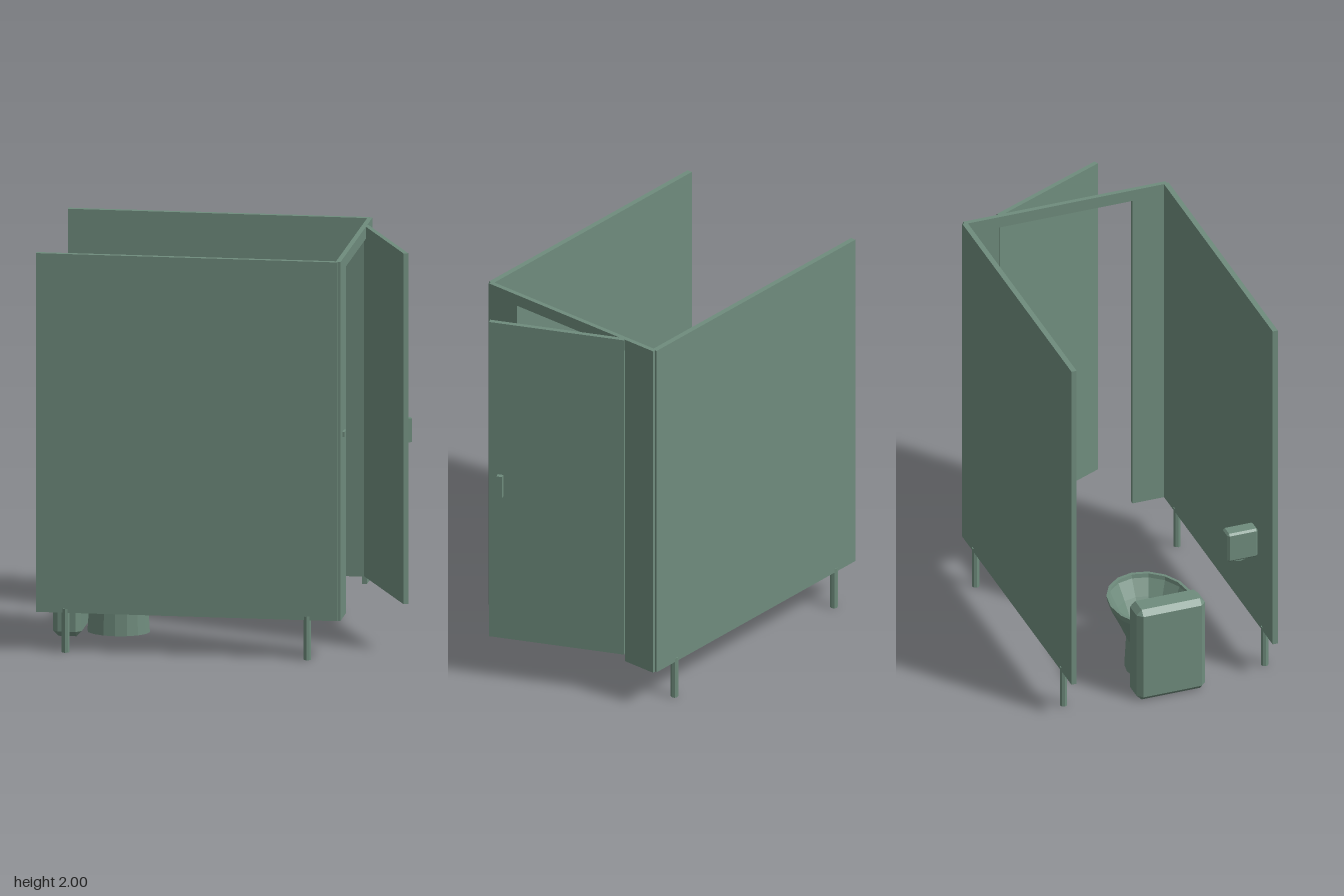
import * as THREE from 'three';
import { ConvexGeometry } from 'three/addons/geometries/ConvexGeometry.js';

const color = 0x6f8c7d;
const green = new THREE.MeshStandardMaterial({ color, flatShading: true });
green.name = 'sage green';
const greenOpen = new THREE.MeshStandardMaterial({ color, flatShading: true, side: THREE.DoubleSide });
greenOpen.name = 'sage green open surface';

function add(parent, name, geometry, x = 0, y = 0, z = 0, material = green) {
  const mesh = new THREE.Mesh(geometry, material);
  mesh.name = name;
  mesh.position.set(x, y, z);
  parent.add(mesh);
  return mesh;
}

// Box with every edge cut off at c
function chamferBox(w, h, d, c) {
  const points = [];
  for (const sx of [-1, 1]) for (const sy of [-1, 1]) for (const sz of [-1, 1]) {
    const corner = [sx * w / 2, sy * h / 2, sz * d / 2];
    const inner = [sx * (w / 2 - c), sy * (h / 2 - c), sz * (d / 2 - c)];
    for (let i = 0; i < 3; i++) {
      const p = inner.slice();
      p[i] = corner[i];
      points.push(new THREE.Vector3(...p));
    }
  }
  return new ConvexGeometry(points);
}

export function createModel() {
  const model = new THREE.Group();
  model.name = 'toiletStall';

  // Side partitions on short legs
  for (const side of [-1, 1]) {
    add(model, 'sidePartition', new THREE.BoxGeometry(1.495, 1.8, 0.027), -0.1625, 1.1, side * 0.529);
    for (const x of [-0.765, 0.435]) {
      add(model, 'leg', new THREE.CylinderGeometry(0.019, 0.019, 0.22, 8), x, 0.11, side * 0.529);
    }
  }

  // Door frame: two stiles joined by a header
  const frame = new THREE.Shape();
  [[-0.532, 0.2], [-0.35, 0.2], [-0.35, 1.94], [0.35, 1.94], [0.35, 0.2], [0.532, 0.2], [0.532, 2], [-0.532, 2]]
    .forEach(([x, y], i) => (i ? frame.lineTo(x, y) : frame.moveTo(x, y)));
  const frameGeo = new THREE.ExtrudeGeometry(frame, { depth: 0.024, bevelEnabled: false });
  frameGeo.rotateY(Math.PI / 2);
  add(model, 'doorFrame', frameGeo, 0.576, 0, 0);
  add(model, 'latchPlate', new THREE.BoxGeometry(0.012, 0.025, 0.06), 0.604, 1.122, 0.44);

  // Door standing ajar, with its handle
  const door = new THREE.Group();
  door.name = 'door';
  door.position.set(0.742, 0, -0.034);
  door.rotation.y = 0.434;
  model.add(door);
  add(door, 'doorPanel', new THREE.BoxGeometry(0.024, 1.76, 0.69), 0, 1.12, 0);
  add(door, 'doorHandle', new THREE.BoxGeometry(0.024, 0.12, 0.028), 0.034, 1.1, 0.283);

  // Toilet: flared oval bowl, floor cap, inner disc and tank
  const toilet = new THREE.Group();
  toilet.name = 'toilet';
  model.add(toilet);
  const profile = [[0.125, 0], [0.116, 0.17], [0.165, 0.28], [0.205, 0.36], [0.21, 0.39], [0.195, 0.39]]
    .map(([r, y]) => new THREE.Vector2(r, y));
  const bowl = new THREE.LatheGeometry(profile, 16);
  bowl.scale(1.24, 1, 1);
  add(toilet, 'bowl', bowl, -0.58, 0, 0, greenOpen);
  const cap = new THREE.CircleGeometry(0.125, 16);
  cap.rotateX(Math.PI / 2).scale(1.24, 1, 1);
  add(toilet, 'bowlBase', cap, -0.58, 0, 0);
  const disc = new THREE.CircleGeometry(0.09, 16);
  disc.rotateX(-Math.PI / 2).scale(1.24, 1, 1);
  add(toilet, 'bowlDisc', disc, -0.58, 0.17, 0);
  add(toilet, 'tank', chamferBox(0.143, 0.515, 0.36, 0.027), -0.812, 0.2575, 0);

  // Paper holder with its roll
  add(model, 'paperHolder', chamferBox(0.08, 0.16, 0.16, 0.01), -0.87, 0.8, 0.36);
  const roll = new THREE.CylinderGeometry(0.058, 0.058, 0.08, 12);
  roll.rotateZ(Math.PI / 2);
  add(model, 'paperRoll', roll, -0.825, 0.745, 0.36);

  return model;
}
